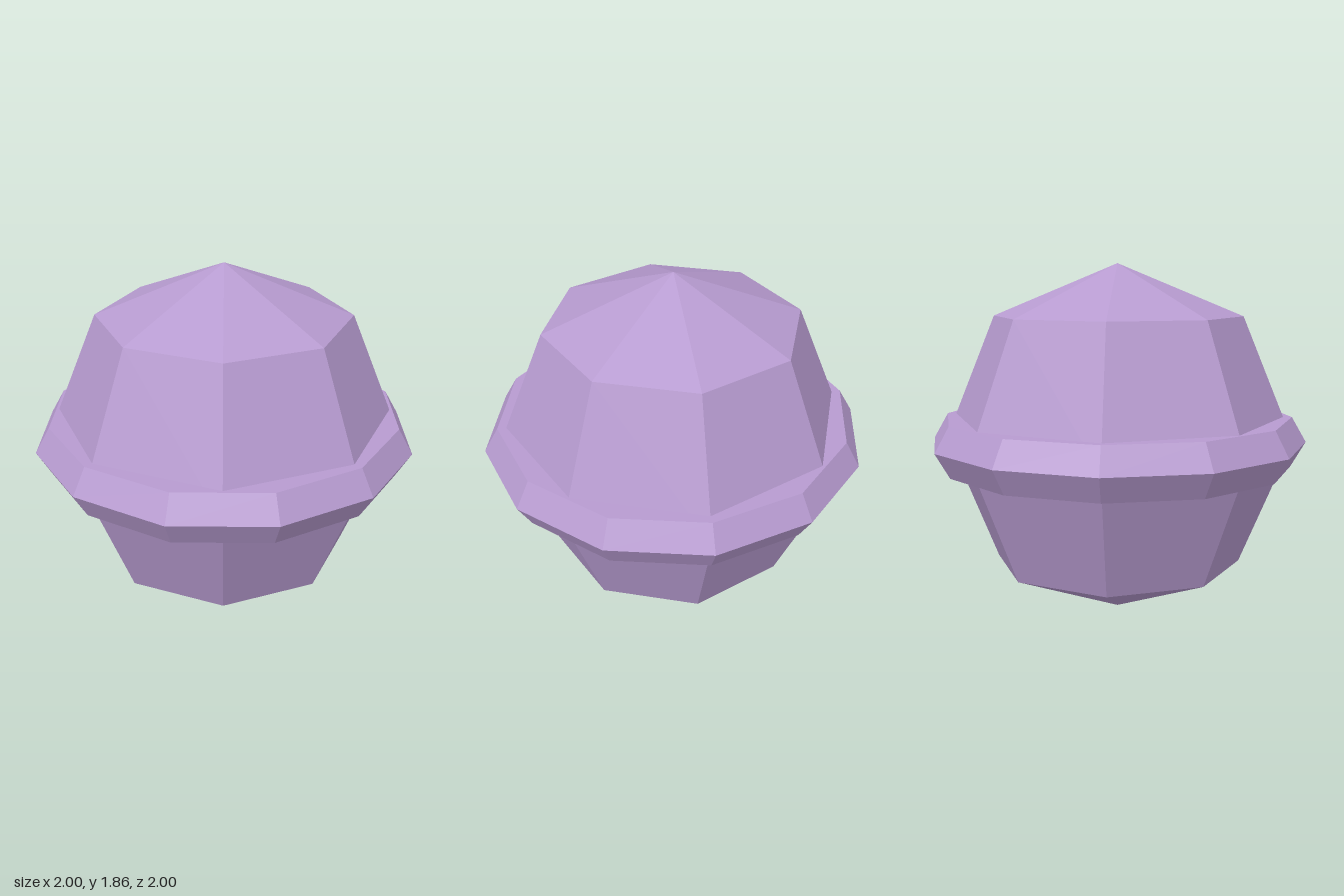
import * as THREE from 'three';

export function createModel() {
  const model = new THREE.Group();
  const radius = 0.932;
  const material = new THREE.MeshStandardMaterial({ color: 0xb79bd0, flatShading: true });

  const add = (name, geometry) => {
    const mesh = new THREE.Mesh(geometry, material);
    mesh.name = name;
    mesh.position.y = radius;
    model.add(mesh);
  };

  // Faceted eight-sided body, pointed at top and bottom
  add('body', new THREE.SphereGeometry(radius, 8, 4));

  // Twelve-sided ring with a hexagonal section around the middle
  add('ring', new THREE.TorusGeometry(0.8475, 0.1525, 6, 12).rotateX(Math.PI / 2));

  return model;
}
